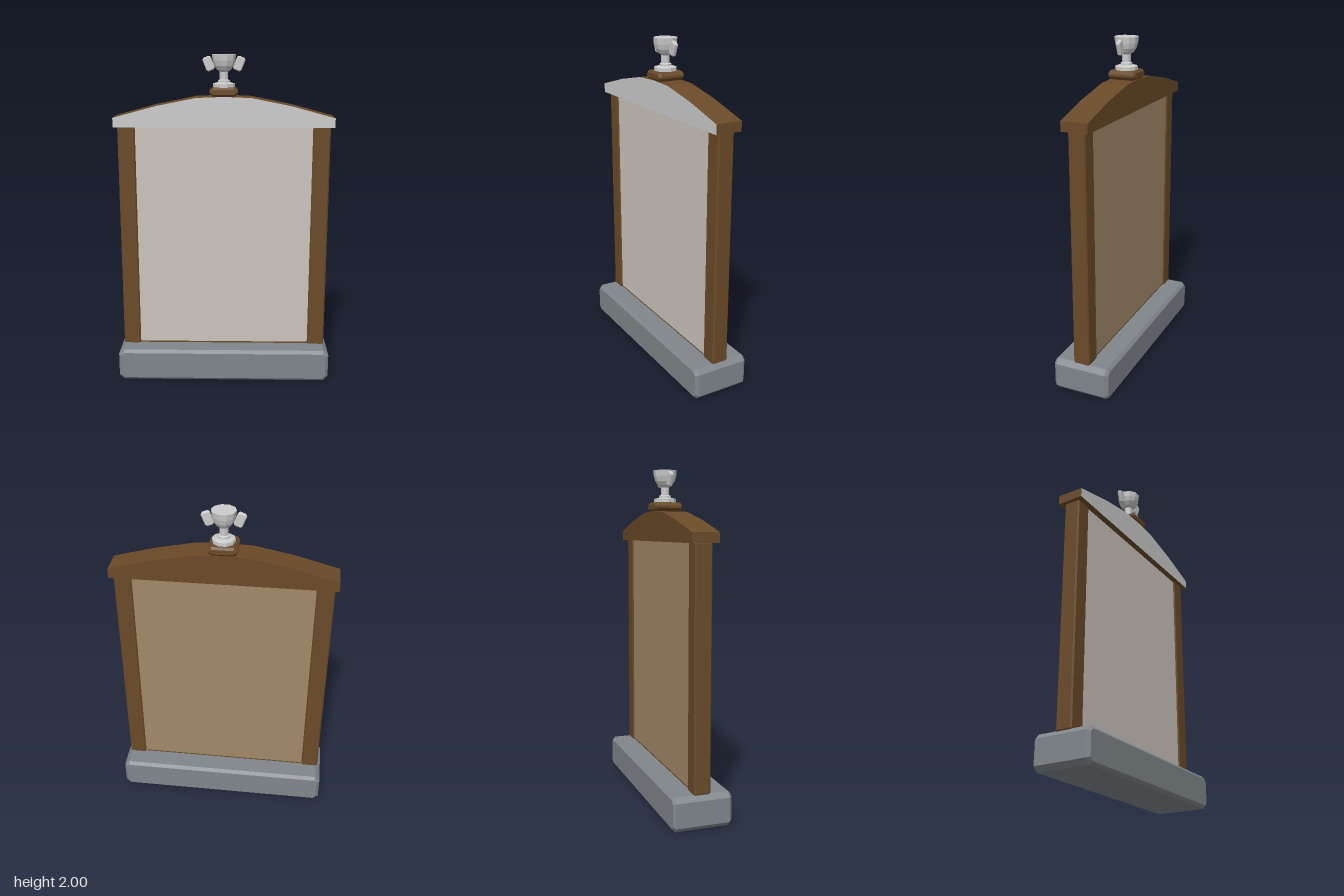
import * as THREE from 'three';

const mat = (color) => new THREE.MeshStandardMaterial({ color, flatShading: true });

function addMesh(parent, name, geometry, material, x = 0, y = 0, z = 0) {
  const mesh = new THREE.Mesh(geometry, material);
  mesh.name = name;
  mesh.position.set(x, y, z);
  parent.add(mesh);
  return mesh;
}

// Box with every edge cut at 45 degrees, centred on the origin
function chamferBox(w, h, d, c) {
  const a = w / 2 - c, b = h / 2 - c;
  const shape = new THREE.Shape([
    [-a, -b + c], [-a + c, -b], [a - c, -b], [a, -b + c],
    [a, b - c], [a - c, b], [-a + c, b], [-a, b - c],
  ].map(([x, y]) => new THREE.Vector2(x, y)));
  const geometry = new THREE.ExtrudeGeometry(shape, {
    depth: d - 2 * c, bevelEnabled: true, bevelSegments: 1, bevelSize: c, bevelThickness: c,
  });
  return geometry.translate(0, 0, -d / 2 + c);
}

export function createModel() {
  const model = new THREE.Group();
  model.name = 'framedMonument';
  const wood = mat(0x6a4a28);
  const stone = mat(0x80868b);
  const grey = mat(0xcccccc);

  // Stone base
  addMesh(model, 'base', chamferBox(1.31, 0.2, 0.35, 0.018), stone, 0, 0.1);

  // Side posts
  for (const s of [1, -1]) {
    addMesh(model, s > 0 ? 'leftPost' : 'rightPost',
      chamferBox(0.105, 1.4, 0.1, 0.008), wood, s * 0.582, 0.89);
  }

  // Board with a pale front face and a tan back face
  addMesh(model, 'board', chamferBox(1.08, 1.4, 0.08, 0.01), wood, 0, 0.89);
  const face = new THREE.PlaneGeometry(1.06, 1.37);
  addMesh(model, 'boardFront', face, mat(0xcbc4bd), 0, 0.895, 0.042);
  addMesh(model, 'boardBack', face, mat(0xa38968), 0, 0.895, -0.042).rotation.y = Math.PI;

  // Arched top rail with a grey front face
  const half = [[0.655, 1.58], [0.655, 1.637], [0.4, 1.706], [0.165, 1.753]];
  const outline = [
    ...half, [0, 1.76], ...half.map(([x, y]) => [-x, y]).reverse(),
  ].map(([x, y]) => new THREE.Vector2(x, y));
  const arch = new THREE.Shape(outline);
  addMesh(model, 'topRail',
    new THREE.ExtrudeGeometry(arch, { depth: 0.158, bevelEnabled: false }), wood, 0, 0, -0.079);
  addMesh(model, 'topRailFront', new THREE.ShapeGeometry(arch), grey, 0, 0, 0.08);

  // Small wooden plinth under the cup
  addMesh(model, 'plinth', chamferBox(0.168, 0.052, 0.168, 0.012), wood, 0, 1.785);

  // Ten-sided cup with foot, stem and closed top
  const trophy = new THREE.Group();
  trophy.name = 'trophy';
  model.add(trophy);
  const profile = [
    [0, 1.808], [0.066, 1.808], [0.066, 1.832], [0.035, 1.84], [0.035, 1.85], [0.025, 1.855],
    [0.025, 1.9], [0.042, 1.912], [0.058, 1.935], [0.067, 1.965], [0.071, 2], [0, 2],
  ].map(([x, y]) => new THREE.Vector2(x, y));
  addMesh(trophy, 'cup', new THREE.LatheGeometry(profile, 10), grey).rotation.y = Math.PI / 2;

  // Flat tilted handles
  for (const s of [1, -1]) {
    const handle = addMesh(trophy, s > 0 ? 'leftHandle' : 'rightHandle',
      chamferBox(0.052, 0.084, 0.025, 0.006), grey, s * 0.09, 1.946);
    handle.rotation.z = -s * 0.38;
  }

  return model;
}
